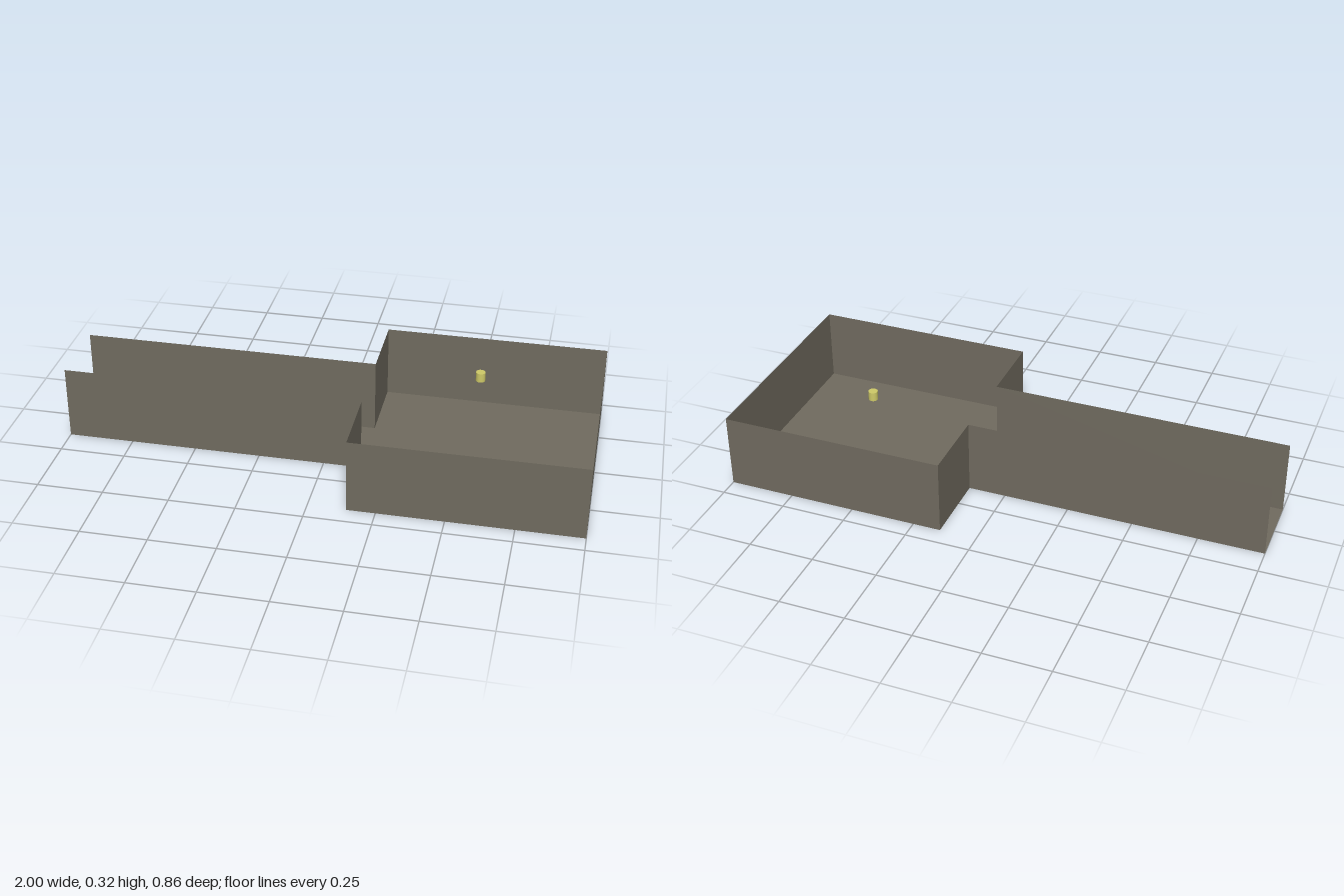
import * as THREE from 'three';

export function createModel() {
  const model = new THREE.Group();
  const stone = new THREE.MeshStandardMaterial({ color: 0x706b5f, side: THREE.DoubleSide });
  stone.name = 'stone grey';
  const yellow = new THREE.MeshStandardMaterial({ color: 0xcfca68 });
  yellow.name = 'pale yellow';

  const H = 0.286, room = 0.428, hall = 0.143, door = 0.143;

  function add(name, geometry, material) {
    const mesh = new THREE.Mesh(geometry, material);
    mesh.name = name;
    model.add(mesh);
    return mesh;
  }

  // Thin upright wall between two floor points
  function wall(name, x0, z0, x1, z1) {
    const mesh = add(name, new THREE.PlaneGeometry(Math.hypot(x1 - x0, z1 - z0), H), stone);
    mesh.position.set((x0 + x1) / 2, H / 2, (z0 + z1) / 2);
    mesh.rotation.y = -Math.atan2(z1 - z0, x1 - x0);
  }

  // Flat floor rectangle
  function floor(name, x0, x1, halfDepth) {
    const mesh = add(name, new THREE.PlaneGeometry(x1 - x0, halfDepth * 2), stone);
    mesh.rotation.x = -Math.PI / 2;
    mesh.position.x = (x0 + x1) / 2;
  }

  floor('roomFloor', door, 1, room);
  floor('corridorFloor', -1, door, hall);

  // Mirrored walls; the far end of the corridor stays open
  for (const [side, s] of [['front', 1], ['back', -1]]) {
    wall(side + 'CorridorWall', -1, s * hall, door, s * hall);
    wall(side + 'DoorwayWall', door, s * hall, door, s * room);
    wall(side + 'RoomWall', door, s * room, 1, s * room);
  }
  wall('roomEndWall', 1, room, 1, -room);

  // Small drum hanging in the room
  const lamp = add('lamp', new THREE.CylinderGeometry(0.018, 0.018, 0.035, 16), yellow);
  lamp.position.set(0.548, 0.303, -0.103);

  return model;
}
